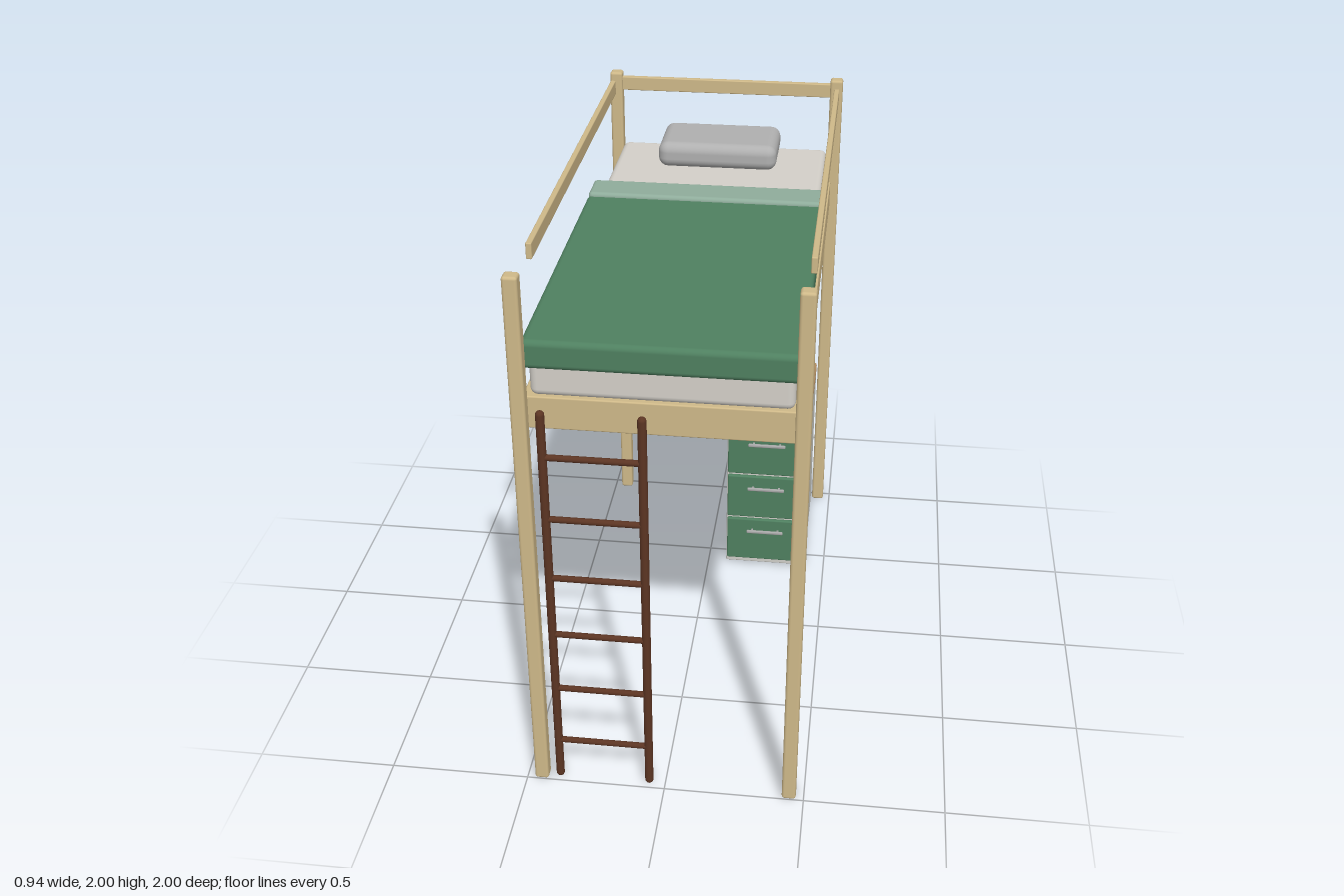
import * as THREE from 'three';
import { RoundedBoxGeometry } from 'three/addons/geometries/RoundedBoxGeometry.js';

const material = (color) => new THREE.MeshStandardMaterial({ color });
const mats = {
  wood: material(0xcfb989), desk: material(0xb58e60), ladder: material(0x5c3523),
  green: material(0x4f8060), fold: material(0x8fac9b), mattress: material(0xd4d0c9),
  pillow: material(0xb0b0b0), cabinet: material(0xd0cfc9), metal: material(0xa8a8a8),
  screen: material(0x1c2026), red: material(0xb84a42), gold: material(0xc09a3c),
  cream: material(0xd8cfb8), teal: material(0x3f8f8c), leaf: material(0x7fa284),
};

export function createModel() {
  const root = new THREE.Group();
  root.name = 'loftBedWithDesk';

  // Softly rounded box given by its extents on each axis
  function block(name, mat, [x0, x1], [y0, y1], [z0, z1], radius = 0.004, segments = 2, parent = root) {
    const w = x1 - x0, h = y1 - y0, d = z1 - z0;
    const r = Math.min(radius, Math.min(w, h, d) * 0.49);
    const mesh = new THREE.Mesh(new RoundedBoxGeometry(w, h, d, segments, r), mats[mat]);
    mesh.position.set((x0 + x1) / 2, (y0 + y1) / 2, (z0 + z1) / 2);
    mesh.name = name;
    parent.add(mesh);
    return mesh;
  }

  // Corner posts
  for (const x of [-0.447, 0.447]) {
    for (const z of [-0.975, 0.975]) {
      block('post', 'wood', [x - 0.025, x + 0.025], [0, 2], [z - 0.025, z + 0.025], 0.01);
    }
  }

  // Bed frame and guard rails
  block('bedFrame', 'wood', [-0.44, 0.44], [1.455, 1.57], [-0.955, 0.955], 0.005);
  block('headRail', 'wood', [-0.43, 0.43], [1.925, 1.98], [-0.985, -0.963], 0.004);
  for (const x of [-0.45, 0.45]) {
    block('sideRail', 'wood', [x - 0.01, x + 0.01], [1.928, 1.984], [-0.9, 0.713], 0.004);
  }

  // Bedding
  block('mattress', 'mattress', [-0.418, 0.418], [1.565, 1.713], [-0.953, 0.945], 0.025, 3);
  block('blanket', 'green', [-0.44, 0.44], [1.665, 1.765], [-0.232, 0.956], 0.02, 3);
  block('blanketFold', 'fold', [-0.435, 0.435], [1.743, 1.78], [-0.35, -0.21], 0.015, 3);
  block('pillow', 'pillow', [-0.235, 0.232], [1.72, 1.82], [-0.922, -0.642], 0.038, 4);

  // Ladder: two rounded uprights and evenly spaced rungs
  const ladder = new THREE.Group();
  ladder.name = 'ladder';
  root.add(ladder);
  const ladderX = [-0.383, -0.058], ladderZ = 0.971;
  for (const x of ladderX) {
    const upright = new THREE.Mesh(new THREE.CapsuleGeometry(0.015, 1.5, 4, 12), mats.ladder);
    upright.name = 'ladderUpright';
    upright.position.set(x, 0.765, ladderZ);
    ladder.add(upright);
  }
  for (let i = 0; i < 6; i++) {
    const rung = new THREE.Mesh(
      new THREE.CylinderGeometry(0.011, 0.011, ladderX[1] - ladderX[0], 12), mats.ladder);
    rung.name = 'ladderRung';
    rung.rotation.z = Math.PI / 2;
    rung.position.set((ladderX[0] + ladderX[1]) / 2, 0.17 + i * 0.2375, ladderZ);
    ladder.add(rung);
  }

  // Desk top and drawer cabinet
  block('deskTop', 'desk', [-0.418, 0.418], [0.695, 0.725], [-0.943, -0.393], 0.01, 3);
  block('cabinet', 'cabinet', [0.077, 0.417], [0.008, 0.694], [-0.94, -0.41], 0.006);
  for (let i = 0; i < 3; i++) {
    const y = 0.138 + i * 0.2165;
    block('drawerFront', 'green', [0.082, 0.412], [y - 0.102, y + 0.102], [-0.412, -0.393], 0.006);
    block('drawerHandle', 'metal', [0.167, 0.322], [y + 0.044, y + 0.058], [-0.382, -0.37], 0.005);
    for (const x of [0.19, 0.299]) {
      block('handleMount', 'metal', [x - 0.004, x + 0.004], [y + 0.047, y + 0.055], [-0.395, -0.378], 0.001);
    }
  }

  // Monitor on its stand
  block('monitorScreen', 'screen', [-0.315, 0.082], [0.738, 0.98], [-0.818, -0.796], 0.005);
  block('monitorBase', 'screen', [-0.182, -0.05], [0.725, 0.745], [-0.86, -0.768], 0.005);

  // Shelf with a row of books: left edge, width, height, colour, lean
  block('shelf', 'desk', [-0.418, 0.418], [1.138, 1.155], [-0.943, -0.753], 0.005);
  const books = [
    [-0.375, 0.025, 0.165, 'red', 0], [-0.343, 0.033, 0.13, 'red', 0],
    [-0.306, 0.02, 0.145, 'red', 0], [-0.28, 0.033, 0.163, 'gold', 0],
    [-0.243, 0.023, 0.135, 'cream', 0], [-0.217, 0.034, 0.17, 'red', 0],
    [-0.178, 0.024, 0.133, 'red', 0], [-0.147, 0.03, 0.185, 'cream', 0],
    [-0.113, 0.033, 0.177, 'gold', 0], [-0.076, 0.033, 0.15, 'teal', 0],
    [-0.04, 0.026, 0.167, 'leaf', 0.05], [0.03, 0.025, 0.155, 'cream', -0.25],
  ];
  books[10][4] = -0.05 * -1;
  for (const [x, w, h, mat, lean] of books) {
    const book = new THREE.Group();
    book.name = 'book';
    // A leaning book pivots on a bottom corner
    book.position.set(x, 1.155, 0);
    if (lean < 0) book.position.x = 0.03;
    block('bookBody', mat, [0, w], [0, h], [-0.922, -0.775], 0.002, 1, book);
    book.rotation.z = Math.abs(lean);
    root.add(book);
  }
  return root;
}
